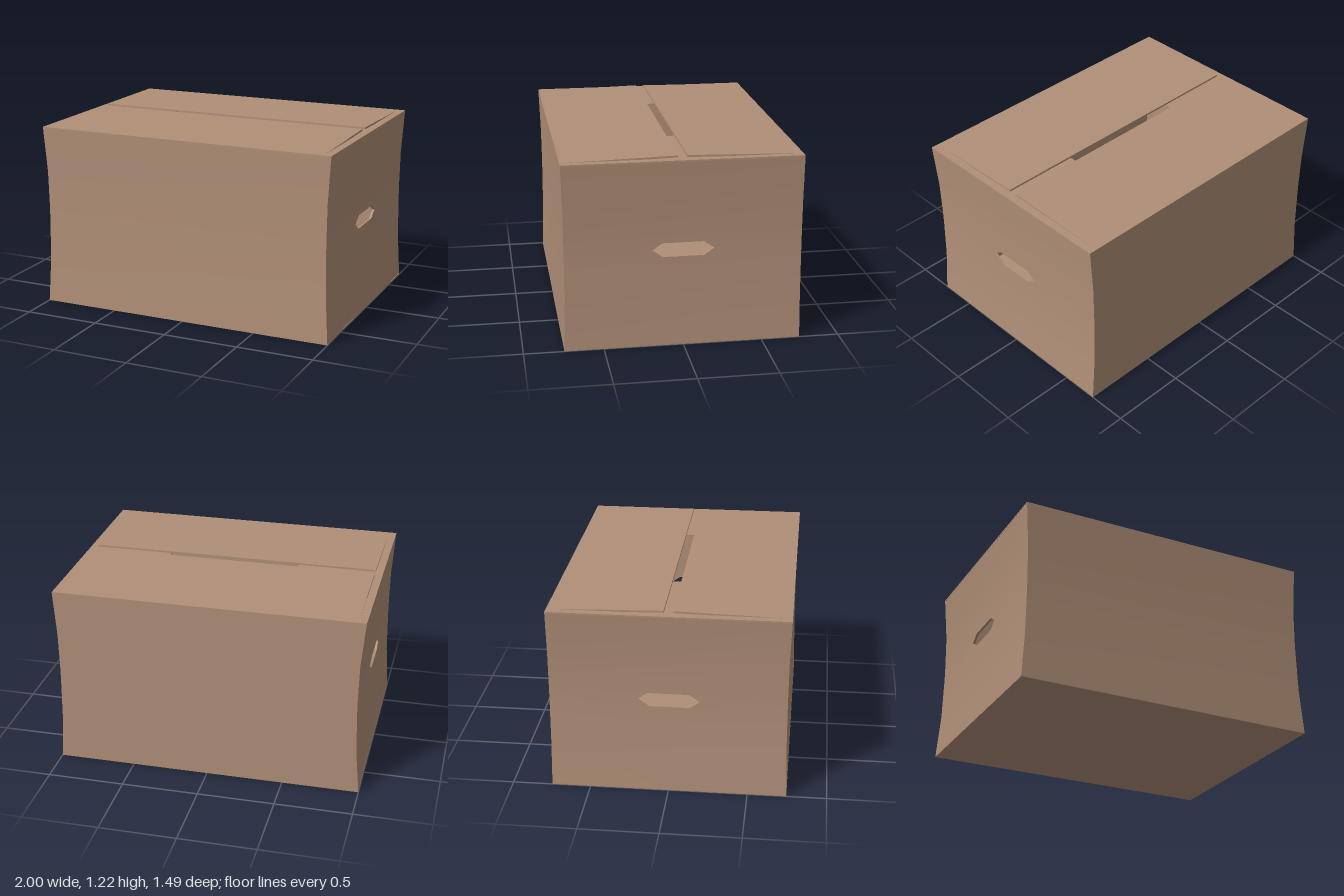
import * as THREE from 'three';
import { mergeGeometries, mergeVertices } from 'three/addons/utils/BufferGeometryUtils.js';

const HEIGHT = 1.2, HALF_X = 1, HALF_Z = 0.747, CARD = 0.015;

// How far the walls sag inward at each height (0 to 1)
const ROWS = [[0, 0], [0.3, 0.8], [0.58, 1], [0.67, 1], [0.9, 0.85], [1.2, 0]];
// Handle cut-out outline, counter-clockwise
const HANDLE = [[-0.13, 0.58], [0.13, 0.58], [0.195, 0.625], [0.13, 0.67], [-0.13, 0.67], [-0.195, 0.625]];

function sag(y) {
  for (let i = 1; i < ROWS.length; i++) {
    const [y0, a] = ROWS[i - 1], [y1, b] = ROWS[i];
    if (y <= y1 + 1e-5) return THREE.MathUtils.lerp(a, b, (y - y0) / (y1 - y0));
  }
  return 0;
}

// Pulls wall vertices inward; the back stays straight
function warp(geometry) {
  const p = geometry.attributes.position;
  for (let i = 0; i < p.count; i++) {
    const x = p.getX(i), z = p.getZ(i), f = sag(p.getY(i));
    const pull = x < 0 ? 0.028 - 0.006 * z : 0.024;
    p.setX(i, x * (1 - pull * f));
    if (z > 0) p.setZ(i, z * (1 - 0.015 * f * (z / HALF_Z)));
  }
  return geometry;
}

const panel = points => {
  const g = new THREE.ShapeGeometry(new THREE.Shape(points.map(([x, y]) => new THREE.Vector2(x, y))));
  g.deleteAttribute('normal');
  g.deleteAttribute('uv');
  return g;
};

// One sheet of a wall, made of horizontal strips, with an optional handle hole
function sheet(half, depth, angle, hasHandle) {
  const strips = [];
  for (let i = 1; i < ROWS.length; i++) {
    const y0 = ROWS[i - 1][0], y1 = ROWS[i][0];
    if (hasHandle && y0 === 0.58) {
      for (const s of [-1, 1]) {
        const pts = [[s * half, y0], [s * half, y1], [s * 0.13, y1], [s * 0.195, 0.625], [s * 0.13, y0]];
        strips.push(panel(pts));
      }
    } else {
      strips.push(panel([[-half, y0], [half, y0], [half, y1], [-half, y1]]));
    }
  }
  const g = mergeGeometries(strips);
  g.translate(0, 0, depth).rotateY(angle);
  const welded = mergeVertices(warp(g), 1e-4);
  welded.computeVertexNormals();
  return welded;
}

// Card edge around the handle hole
function handleRim(depth, angle) {
  const v = [];
  HANDLE.forEach(([ax, ay], i) => {
    const [bx, by] = HANDLE[(i + 1) % HANDLE.length], back = depth - CARD;
    v.push(ax, ay, depth, bx, by, depth, bx, by, back, ax, ay, depth, bx, by, back, ax, ay, back);
  });
  const g = new THREE.BufferGeometry();
  g.setAttribute('position', new THREE.Float32BufferAttribute(v, 3));
  g.rotateY(angle);
  warp(g).computeVertexNormals();
  return g;
}

export function createModel() {
  const group = new THREE.Group();
  group.name = 'cardboardBox';
  const cardboard = new THREE.MeshStandardMaterial({ color: 0xb08f77, side: THREE.DoubleSide });
  cardboard.name = 'cardboard';
  const add = (name, geometry, parent = group) => {
    const mesh = new THREE.Mesh(geometry, cardboard);
    mesh.name = name;
    parent.add(mesh);
    return mesh;
  };

  // Four walls, each an outer and an inner sheet
  ['frontWall', 'leftWall', 'backWall', 'rightWall'].forEach((name, i) => {
    const side = i % 2 === 1, angle = i * Math.PI / 2;
    const half = side ? HALF_Z : HALF_X, depth = side ? HALF_X : HALF_Z;
    const wall = new THREE.Group();
    wall.name = name;
    group.add(wall);
    add(name + 'Outside', sheet(half, depth, angle, side), wall);
    add(name + 'Inside', sheet(half - CARD, depth - CARD, angle, side), wall);
    if (side) add(name + 'HandleRim', handleRim(depth, angle), wall);
  });

  // Floor
  add('floor', new THREE.BoxGeometry(2 * HALF_X, 0.01, 2 * HALF_Z).translate(0, 0.005, 0));

  // Short flaps folded flat beneath the long ones
  for (const s of [-1, 1]) {
    add(s > 0 ? 'leftFlap' : 'rightFlap',
      new THREE.BoxGeometry(0.565, 0.01, 2 * HALF_Z).translate(s * 0.7175, HEIGHT - 0.005, 0));
  }

  // Long flaps rising slightly towards the middle slit
  ['frontFlap', 'backFlap'].forEach((name, i) => {
    const length = HALF_Z - 0.028;
    const g = new THREE.BoxGeometry(1.9, 0.012, length).translate(0, -0.006, -length / 2);
    g.rotateX(0.0245).translate(0, HEIGHT - 0.0005, HALF_Z).rotateY(i * Math.PI);
    add(name, g);
  });

  return group;
}
